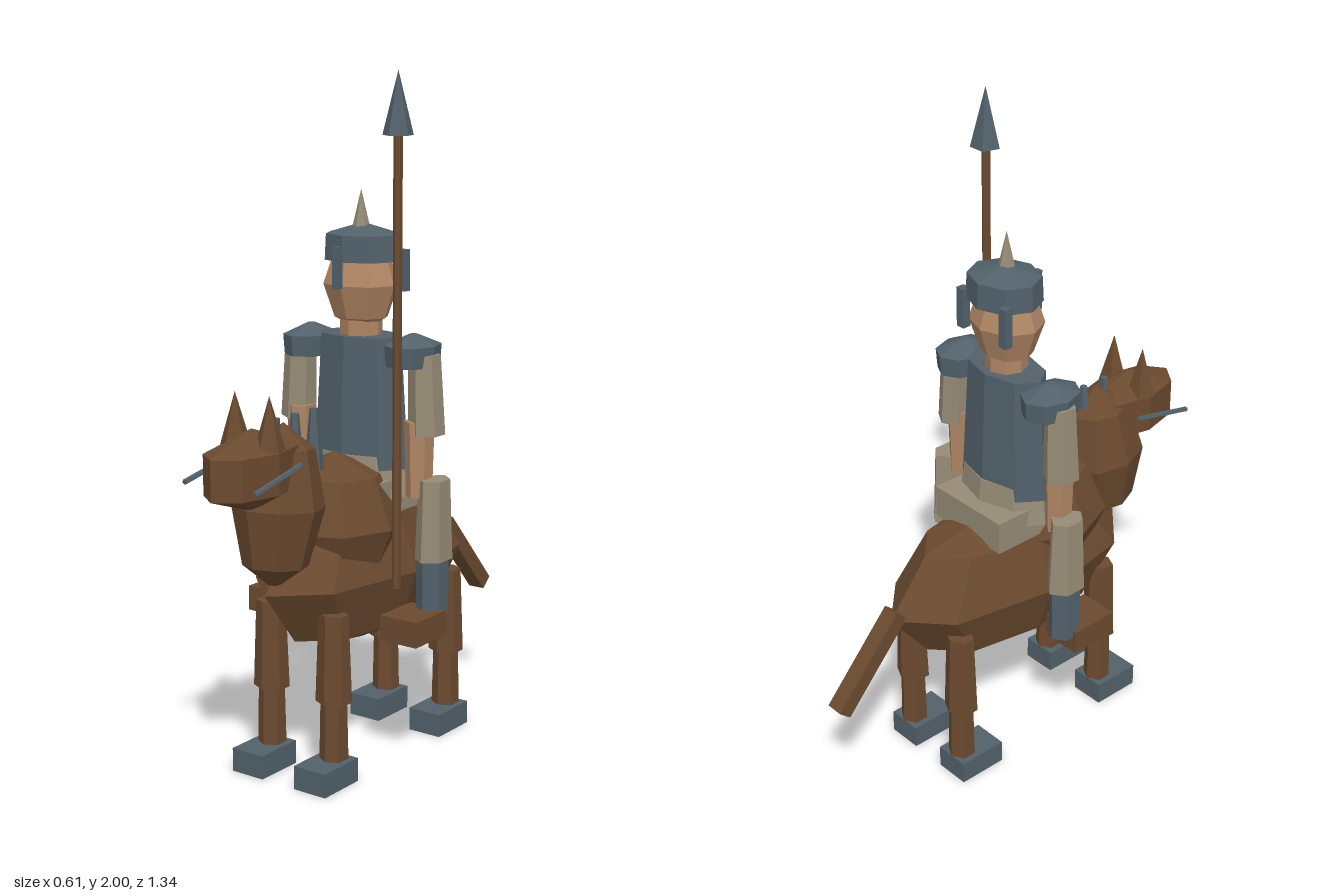
import * as THREE from 'three';

const mat = (name, color) => {
  const m = new THREE.MeshStandardMaterial({ color, flatShading: true });
  m.name = name;
  return m;
};

export function createModel() {
  const brown = mat('brown', 0x6b4a2f);
  const steel = mat('steel', 0x52616b);
  const cloth = mat('cloth', 0x968b76);
  const skin = mat('skin', 0xb08664);

  const model = new THREE.Group();
  model.name = 'mountedLancer';
  const horse = new THREE.Group();
  horse.name = 'horse';
  const rider = new THREE.Group();
  rider.name = 'rider';
  model.add(horse, rider);

  const add = (parent, name, geo, material, x, y, z) => {
    const mesh = new THREE.Mesh(geo, material);
    mesh.name = name;
    mesh.position.set(x, y, z);
    parent.add(mesh);
    return mesh;
  };
  const box = (w, h, d) => new THREE.BoxGeometry(w, h, d);
  // faceted ellipsoid
  const blob = (rx, ry, rz, rings = 4) => new THREE.SphereGeometry(1, 8, rings).scale(rx, ry, rz);
  // many-sided post with separate x and z stretch
  const post = (top, bottom, h, sides, sx = 1, sz = 1) =>
    new THREE.CylinderGeometry(top, bottom, h, sides).scale(sx, 1, sz);
  // thin post between two points
  const rod = (parent, name, a, b, geo, material) => {
    const dir = b.clone().sub(a);
    const mid = a.clone().add(b).multiplyScalar(0.5);
    const mesh = add(parent, name, geo(dir.length()), material, mid.x, mid.y, mid.z);
    mesh.quaternion.setFromUnitVectors(new THREE.Vector3(0, 1, 0), dir.normalize());
    return mesh;
  };
  const v = (x, y, z) => new THREE.Vector3(x, y, z);

  // Horse trunk, shoulders, neck and head
  add(horse, 'barrel', blob(0.2, 0.235, 0.45), brown, 0, 0.57, 0);
  add(horse, 'shoulders', blob(0.2, 0.205, 0.205), brown, 0, 0.72, 0.13);
  const neck = add(horse, 'horseNeck', blob(0.125, 0.235, 0.14), brown, 0, 0.815, 0.385);
  neck.rotation.x = -0.1;
  add(horse, 'horseHead', blob(0.112, 0.115, 0.196, 3), brown, 0, 0.94, 0.5);

  // Tail
  rod(horse, 'tail', v(0, 0.595, -0.43), v(0, 0.348, -0.65), (l) => box(0.054, l, 0.048), brown);

  // Mane spikes
  [0.395, 0.31, 0.225].forEach((z, i) => {
    add(horse, 'maneSpike', post(0.012, 0.022 + i * 0.004, 0.175, 5), steel, 0, 0.978, z);
  });

  for (const s of [-1, 1]) {
    // Ears and bridle rods
    add(horse, 'ear', new THREE.ConeGeometry(0.045, 0.15, 5), brown, s * 0.06, 1.075, 0.495);
    rod(horse, 'bridleRod', v(s * 0.117, 0.957, 0.43), v(s * 0.122, 0.915, 0.635),
      (l) => post(0.008, 0.008, l, 5), steel);

    // Horse legs and hooves
    for (const z of [0.285, -0.285]) {
      add(horse, 'upperLeg', post(0.045, 0.055, 0.26, 6, 1, 0.85), brown, s * 0.113, 0.37, z);
      add(horse, 'lowerLeg', post(0.038, 0.042, 0.19, 6), brown, s * 0.113, 0.155, z);
      add(horse, 'hoof', box(0.11, 0.07, 0.155), steel, s * 0.113, 0.035, z + 0.037);
    }
  }

  // Saddle
  add(horse, 'saddle', box(0.28, 0.1, 0.31), cloth, 0, 0.792, 0);

  // Rider trunk
  add(rider, 'hips', post(0.15, 0.17, 0.12, 8, 1, 0.68), cloth, 0, 0.85, 0);
  add(rider, 'cuirass', post(0.14, 0.165, 0.38, 8, 1, 0.6), steel, 0, 1.06, 0);
  add(rider, 'riderNeck', post(0.062, 0.062, 0.12, 8), skin, 0, 1.27, 0);
  add(rider, 'riderHead', blob(0.117, 0.135, 0.1), skin, 0, 1.395, 0);

  // Helmet with spike, nose guard and cheek guards
  add(rider, 'helmetBand', post(0.113, 0.117, 0.075, 8, 1, 0.87), steel, 0, 1.5, -0.008);
  add(rider, 'helmetCap', post(0.01, 0.113, 0.03, 8, 1, 0.87), steel, 0, 1.552, -0.008);
  add(rider, 'helmetSpike', new THREE.ConeGeometry(0.027, 0.115, 6), cloth, 0, 1.607, 0);
  add(rider, 'noseGuard', box(0.02, 0.12, 0.022), steel, 0, 1.45, 0.114);

  for (const s of [-1, 1]) {
    add(rider, 'cheekGuard', box(0.028, 0.12, 0.026), steel, s * 0.088, 1.43, -0.084);

    // Shoulder plates
    add(rider, 'shoulderPlate', post(0.095, 0.09, 0.06, 8, 0.78, 1), steel, s * 0.182, 1.205, 0);
    add(rider, 'shoulderPlateTop', post(0.015, 0.095, 0.03, 8, 0.78, 1), steel, s * 0.182, 1.25, 0);

    // Arms
    const sleeve = add(rider, 'sleeve', post(0.046, 0.053, 0.23, 6), cloth, s * 0.226, 1.095, 0);
    sleeve.rotation.z = s * 0.04;
    add(rider, 'forearm', post(0.042, 0.036, 0.22, 6, 1, 1.15), skin, s * 0.212, 0.91, 0.01);

    // Legs and boots
    add(rider, 'thigh', post(0.052, 0.062, 0.235, 6, 0.8, 1.06), cloth, s * 0.258, 0.737, 0);
    add(rider, 'greave', post(0.05, 0.05, 0.18, 6, 0.9, 1), steel, s * 0.254, 0.54, 0);
    add(rider, 'boot', box(0.125, 0.075, 0.155), brown, s * 0.242, 0.437, 0.077);
  }

  // Lance
  add(rider, 'lanceShaft', post(0.013, 0.013, 1.29, 6), brown, 0.198, 1.19, 0.1);
  add(rider, 'lanceHead', new THREE.ConeGeometry(0.045, 0.175, 5), steel, 0.198, 1.9125, 0.1);

  return model;
}
